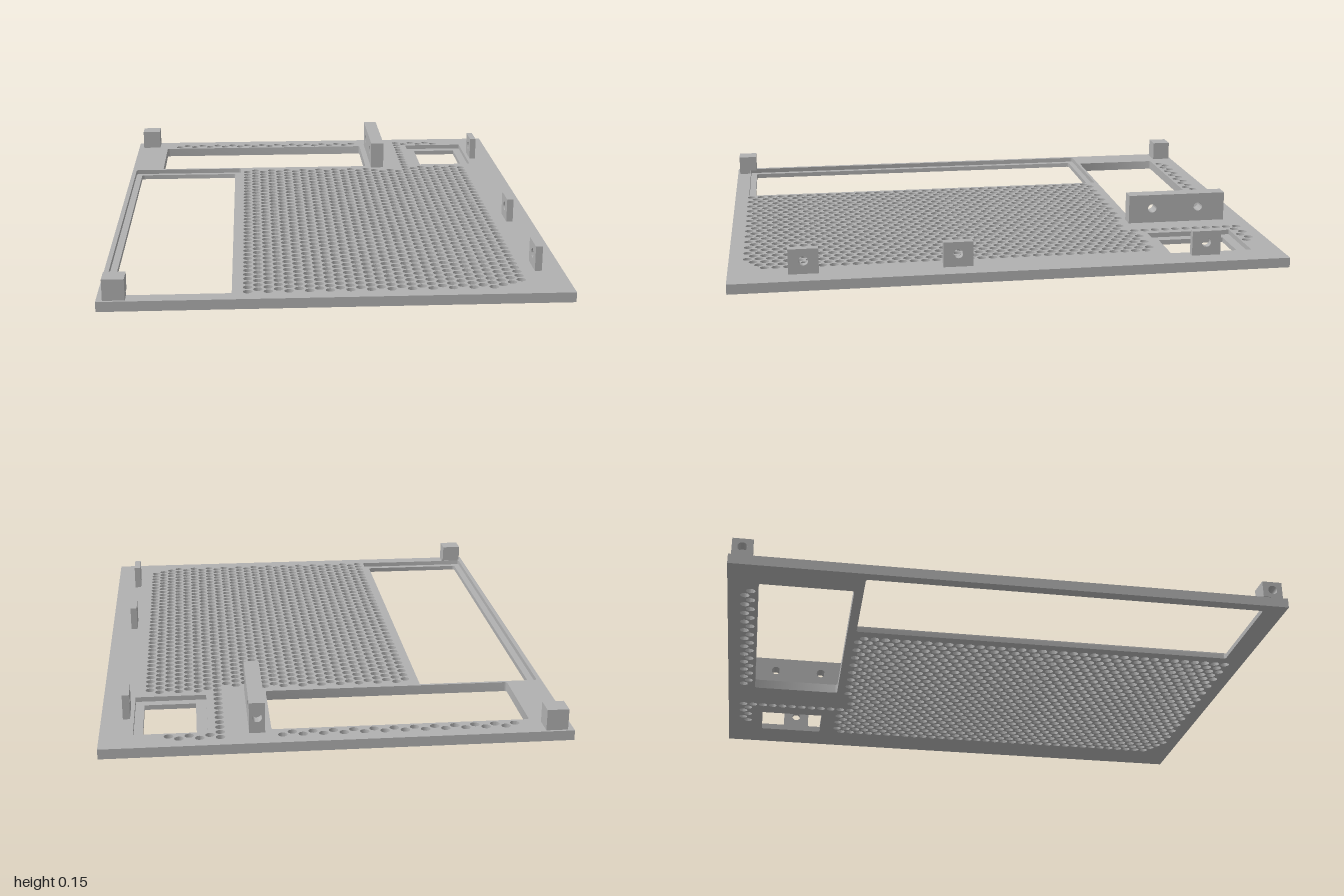
import * as THREE from 'three';
import { toCreasedNormals } from 'three/addons/utils/BufferGeometryUtils.js';

const THICK = 0.036;   // plate thickness
const LEDGE = 0.018;   // thickness of the recessed rims
const HOLE_R = 0.0165;

// Rounded rectangle drawn into a Shape or Path
function rect(path, x0, y0, x1, y1, r = 0) {
  if (!r) {
    path.moveTo(x0, y0).lineTo(x1, y0).lineTo(x1, y1).lineTo(x0, y1).closePath();
    return path;
  }
  path.absarc(x1 - r, y0 + r, r, -Math.PI / 2, 0);
  path.absarc(x1 - r, y1 - r, r, 0, Math.PI / 2);
  path.absarc(x0 + r, y1 - r, r, Math.PI / 2, Math.PI);
  path.absarc(x0 + r, y0 + r, r, Math.PI, Math.PI * 1.5);
  path.closePath();
  return path;
}

const circle = (x, y, r) => new THREE.Path().absarc(x, y, r, 0, Math.PI * 2);

function extrude(shape, depth, segments) {
  return new THREE.ExtrudeGeometry(shape, { depth, bevelEnabled: false, curveSegments: segments });
}

// Shape drawn in (x, z), standing on y = 0
function flat(shape, height) {
  const g = extrude(shape, height, 6);
  g.rotateX(Math.PI / 2).translate(0, height, 0);
  return toCreasedNormals(g, 0.6);
}

// Shape drawn in (-z, y), extruded from x0 to x1
function sideways(shape, x0, x1) {
  const g = extrude(shape, x1 - x0, 12);
  g.rotateY(Math.PI / 2).translate(x0, 0, 0);
  return toCreasedNormals(g, 0.6);
}

// Centres of the ventilation holes on one hexagonal lattice
function ventCentres() {
  const list = [];
  const add = (i, k) => list.push([
    -0.304 + 0.0352 * i,
    -0.939 + 0.0407 * (k + (i % 2 ? 0.5 : 0)),
  ]);
  // Main field, with a clipped front right corner
  for (let i = 0; i < 28; i++) {
    const first = i >= 20 || (i % 2 && i < 16) ? 10 : 11;
    const last = i === 27 ? 44 : i === 26 || i % 2 ? 45 : 46;
    for (let k = first; k <= last; k++) add(i, k);
  }
  // Back strips and the column joining the field
  for (let i = -9; i <= 14; i++) add(i, 0);
  for (let i = 21; i <= 25; i++) add(i, 0);
  for (let k = 0; k < 10; k++) add(20, k);
  return list;
}

export function createModel() {
  const group = new THREE.Group();
  const grey = new THREE.MeshStandardMaterial({ color: 0xb0b0b0 });
  grey.name = 'plain grey';
  const add = (name, geometry, parent = group) => {
    const mesh = new THREE.Mesh(geometry, grey);
    mesh.name = name;
    parent.add(mesh);
    return mesh;
  };

  // Perforated base plate with three windows
  const plate = rect(new THREE.Shape(), -0.812, -1, 0.812, 1);
  const sideWindow = [-0.795, -0.547, -0.333, 0.944];
  const smallWindow = [0.442, -0.895, 0.697, -0.573];
  plate.holes.push(
    rect(new THREE.Path(), -0.678, -0.893, 0.224, -0.558, 0.01),
    rect(new THREE.Path(), ...sideWindow, 0.01),
    rect(new THREE.Path(), ...smallWindow),
    ...ventCentres().map(([x, z]) => circle(x, z, HOLE_R)),
  );
  add('basePlate', flat(plate, THICK));

  // Recessed rims inside two of the windows
  const sideRim = rect(new THREE.Shape(), ...sideWindow, 0.01);
  sideRim.holes.push(rect(new THREE.Path(), -0.77, -0.525, -0.359, 0.918, 0.01));
  add('sideWindowRim', flat(sideRim, LEDGE));

  const smallRim = rect(new THREE.Shape(), ...smallWindow);
  smallRim.holes.push(rect(new THREE.Path(), 0.48, -0.858, 0.665, -0.607));
  add('smallWindowRim', flat(smallRim, LEDGE));

  // Screw tabs along the right edge
  for (const z of [-0.71, 0.195, 0.737]) {
    const tab = rect(new THREE.Shape(), -z - 0.053, THICK, -z + 0.053, 0.127);
    tab.holes.push(circle(-z, 0.084, 0.017));
    add('screwTab', sideways(tab, 0.711, 0.736));
  }

  // Corner posts, each with a blind hole in its outer face
  const post = (name, makeShape, z) => {
    const part = new THREE.Group();
    part.name = name;
    group.add(part);
    const outer = makeShape();
    outer.holes.push(circle(-z, 0.08, 0.017));
    add('postSocket', sideways(outer, -0.79, -0.74), part);
    add('postBack', sideways(makeShape(), -0.74, -0.714), part);
  };
  post('backPost', () => rect(new THREE.Shape(), 0.918, THICK, 0.991, 0.112), -0.955);
  // The front post overhangs the recessed rim
  post('frontPost', () => new THREE.Shape([
    [-0.991, THICK], [-0.946, THICK], [-0.946, 0.05],
    [-0.918, 0.05], [-0.918, 0.112], [-0.991, 0.112],
  ].map(([u, v]) => new THREE.Vector2(u, v))), 0.955);

  // Tall bracket with two cross holes and a socket in its back end
  const bracket = new THREE.Group();
  bracket.name = 'bracket';
  group.add(bracket);
  const body = rect(new THREE.Shape(), 0.535, THICK, 0.878, 0.147);
  for (const z of [-0.628, -0.813]) body.holes.push(circle(-z, 0.093, 0.017));
  add('bracketBody', sideways(body, 0.247, 0.302), bracket);
  const end = rect(new THREE.Shape(), 0.247, THICK, 0.302, 0.147);
  end.holes.push(circle(0.2745, 0.093, 0.017));
  const endGeometry = extrude(end, 0.04, 12).translate(0, 0, -0.918);
  add('bracketEnd', toCreasedNormals(endGeometry, 0.6), bracket);

  return group;
}
